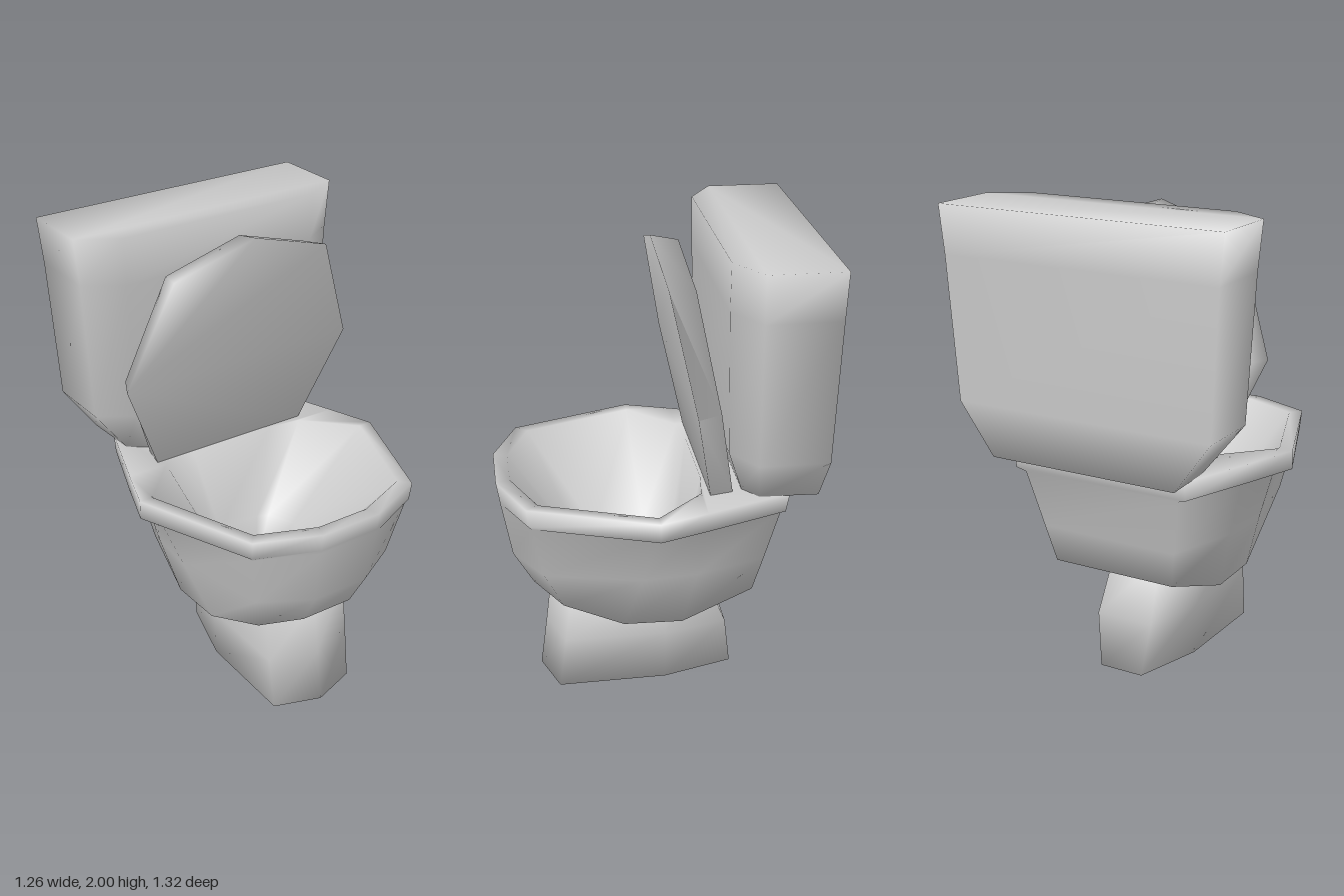
import * as THREE from 'three';

const porcelain = new THREE.MeshStandardMaterial({ color: 0xcccccc });
porcelain.name = 'porcelain';

// Mirror a half cross-section (+x side) into a closed loop.
function mirrorRing(half) {
  const other = half.filter((p) => p[0] > 0).map(([x, y, z]) => [-x, y, z]).reverse();
  return [...half, ...other];
}

// Put a flat [x, z] outline at height y.
const level = (y, pts) => pts.map(([x, z]) => [x, y, z]);

// Skin a stack of mirrored cross-sections, closed at both ends, with smooth normals.
function loft(name, halves) {
  const rings = halves.map(mirrorRing);
  const n = rings[0].length;
  const index = [];
  for (let r = 0; r < rings.length - 1; r++) {
    for (let i = 0; i < n; i++) {
      const a = r * n + i, b = r * n + (i + 1) % n;
      index.push(a, b, b + n, a, b + n, a + n);
    }
  }
  const top = (rings.length - 1) * n;
  const hub = n - 2;
  for (let k = 1; k < n - 1; k++) {
    const p = (hub + k) % n, q = (hub + k + 1) % n;
    index.push(hub, q, p, top + hub, top + p, top + q);
  }
  const geometry = new THREE.BufferGeometry();
  geometry.setAttribute('position', new THREE.Float32BufferAttribute(rings.flat(2), 3));
  geometry.setIndex(index);
  geometry.computeVertexNormals();
  const mesh = new THREE.Mesh(geometry, porcelain);
  mesh.name = name;
  return mesh;
}

export function createModel() {
  const group = new THREE.Group();
  group.name = 'toilet';

  // Pedestal with a pointed front and a sloping back
  group.add(loft('pedestal', [
    level(0, [[0, 0.49], [0.2, 0.42], [0.19, -0.05], [0.1, -0.355]]),
    level(0.23, [[0, 0.46], [0.205, 0.39], [0.2, -0.05], [0.13, -0.325]]),
    level(0.48, [[0, 0.43], [0.205, 0.36], [0.2, -0.04], [0.11, -0.22]]),
  ]));

  // Bowl: underside, outer wall, overhanging rim, then the basin inside
  group.add(loft('bowl', [
    [[0.12, 0.49, 0.515], [0.27, 0.45, 0.4], [0.34, 0.38, 0.15], [0.34, 0.375, -0.1], [0.28, 0.475, -0.41]],
    level(0.64, [[0.13, 0.6], [0.34, 0.48], [0.43, 0.08], [0.41, -0.15], [0.31, -0.45]]),
    level(0.89, [[0.14, 0.645], [0.39, 0.53], [0.52, 0.03], [0.47, -0.17], [0.36, -0.505]]),
    level(0.905, [[0.14, 0.647], [0.4, 0.54], [0.6, 0.03], [0.53, -0.17], [0.4, -0.515]]),
    level(0.985, [[0.14, 0.66], [0.405, 0.55], [0.6, 0.03], [0.53, -0.17], [0.4, -0.53]]),
    level(0.985, [[0.12, 0.6], [0.365, 0.5], [0.54, 0.03], [0.35, -0.17], [0.2, -0.19]]),
    level(0.58, [[0.06, 0.3], [0.16, 0.22], [0.2, 0], [0.15, -0.12], [0.1, -0.14]]),
  ]));

  // Raised lid, leaning back; the sections run from its back to its front
  group.add(loft('lid', [
    [[0.35, 0.985, -0.3], [0.5, 1.4, -0.22], [0.34, 1.85, -0.14], [0, 1.955, -0.12]],
    [[0.37, 0.98, -0.205], [0.55, 1.4, -0.12], [0.37, 1.865, -0.028], [0, 1.978, -0.005]],
  ]));

  // Cistern, tapering towards the bottom
  group.add(loft('tank', [
    level(0.985, [[0.33, -0.34], [0.41, -0.4], [0.42, -0.643]]),
    level(1.2, [[0.43, -0.265], [0.575, -0.36], [0.575, -0.645]]),
    level(1.8, [[0.455, -0.25], [0.61, -0.352], [0.61, -0.657]]),
    level(2, [[0.465, -0.25], [0.63, -0.35], [0.63, -0.66]]),
  ]));

  return group;
}
